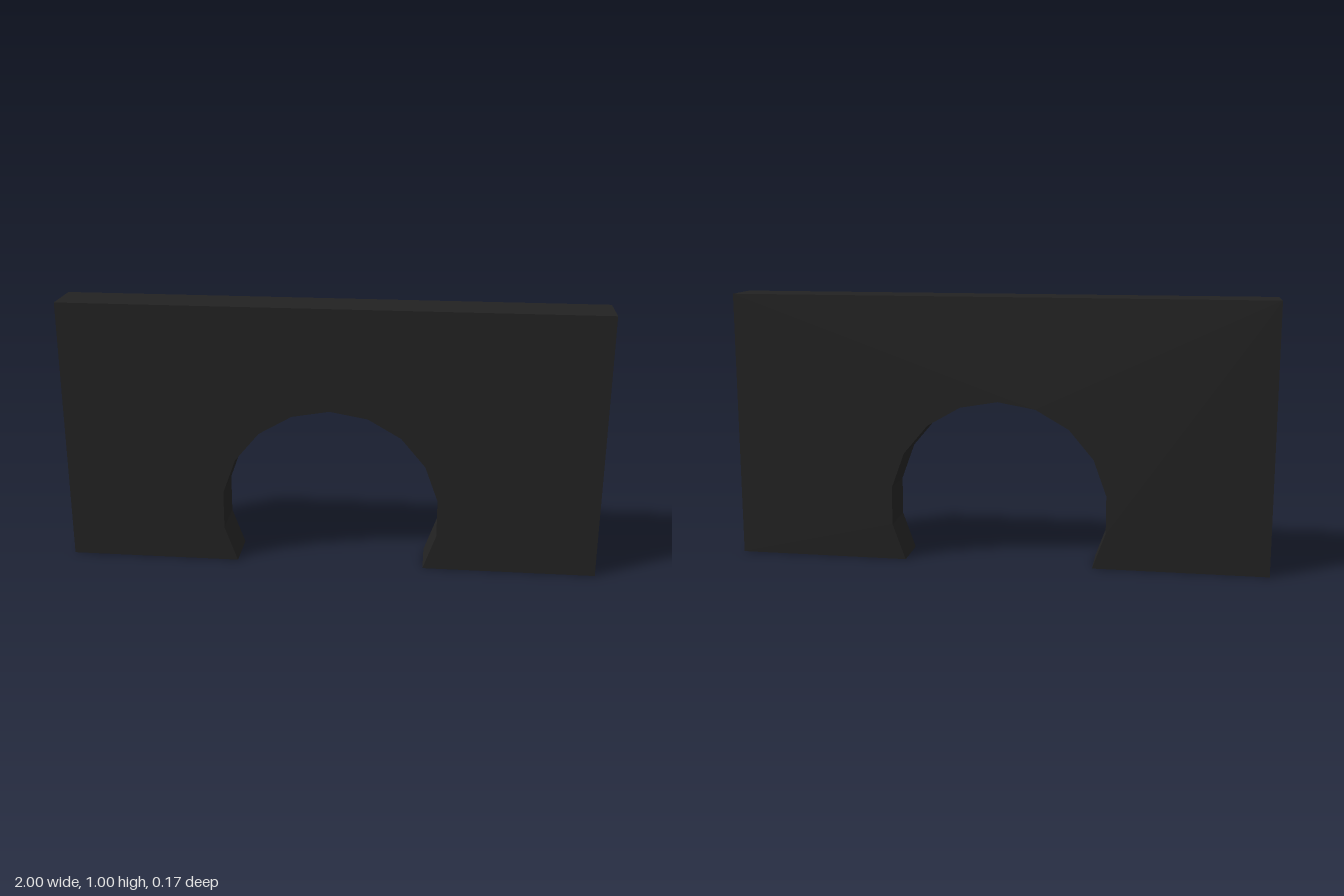
import * as THREE from 'three';

export function createModel() {
  const group = new THREE.Group();
  const charcoal = new THREE.MeshStandardMaterial({ color: 0x222222 });
  charcoal.name = 'charcoal';

  const depth = 0.166;
  const radius = 0.41;
  const centreY = 0.207;

  // Wall outline with a faceted horseshoe arch cut from the base
  const outline = new THREE.Shape();
  outline.moveTo(-1, 0);
  for (let i = -6; i <= 6; i++) {
    const a = THREE.MathUtils.degToRad(i * 20);
    const y = Math.abs(i) === 6 ? 0 : centreY + radius * Math.cos(a);
    outline.lineTo(radius * Math.sin(a), y);
  }
  outline.lineTo(1, 0);
  outline.lineTo(1, 1);
  outline.lineTo(-1, 1);
  outline.closePath();

  const geometry = new THREE.ExtrudeGeometry(outline, { depth, bevelEnabled: false });
  geometry.translate(0, 0, -depth / 2);
  const wall = new THREE.Mesh(geometry, charcoal);
  wall.name = 'archedWall';
  group.add(wall);
  return group;
}
